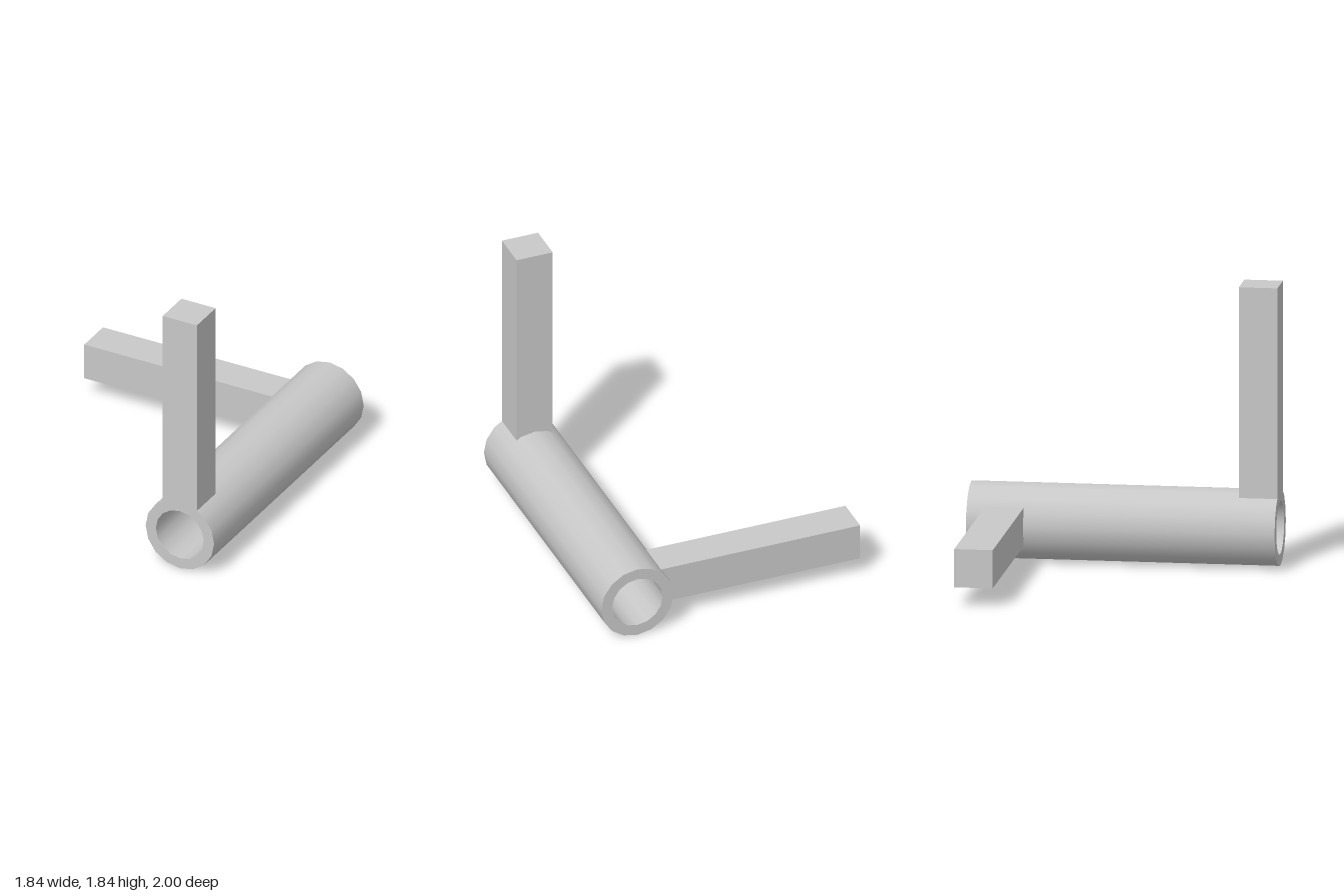
import * as THREE from 'three';

export function createModel() {
  const grey = new THREE.MeshStandardMaterial({ color: 0xc8c8c8 });
  grey.name = 'plain grey';
  const model = new THREE.Group();
  model.name = 'crank';
  const SIDES = 16, OUTER = 0.25, INNER = 0.175, HALF = 1;

  const add = (parent, name, geometry, x = 0, y = 0, z = 0) => {
    const mesh = new THREE.Mesh(geometry, grey);
    mesh.name = name;
    mesh.position.set(x, y, z);
    parent.add(mesh);
    return mesh;
  };

  // Hollow tube along z: smooth walls, flat ring ends
  const tube = new THREE.Group();
  tube.name = 'tube';
  tube.position.set(0.67, 0.25, 0);
  model.add(tube);
  const wall = (r, from, to) =>
    new THREE.LatheGeometry([new THREE.Vector2(r, from), new THREE.Vector2(r, to)], SIDES).rotateX(Math.PI / 2);
  add(tube, 'outerWall', wall(OUTER, -HALF, HALF));
  add(tube, 'innerWall', wall(INNER, HALF, -HALF)); // reversed so it faces the bore
  const ring = () => new THREE.RingGeometry(INNER, OUTER, SIDES);
  add(tube, 'frontEnd', ring(), 0, 0, HALF);
  add(tube, 'backEnd', ring().rotateY(Math.PI), 0, 0, -HALF);

  // Square bars, their inner ends sunk into the tube wall
  add(model, 'uprightBar', new THREE.BoxGeometry(0.25, 1.39, 0.25), 0.67, 1.145, 0.875);
  add(model, 'sideBar', new THREE.BoxGeometry(1.39, 0.25, 0.25), -0.225, 0.25, -0.755);

  return model;
}
